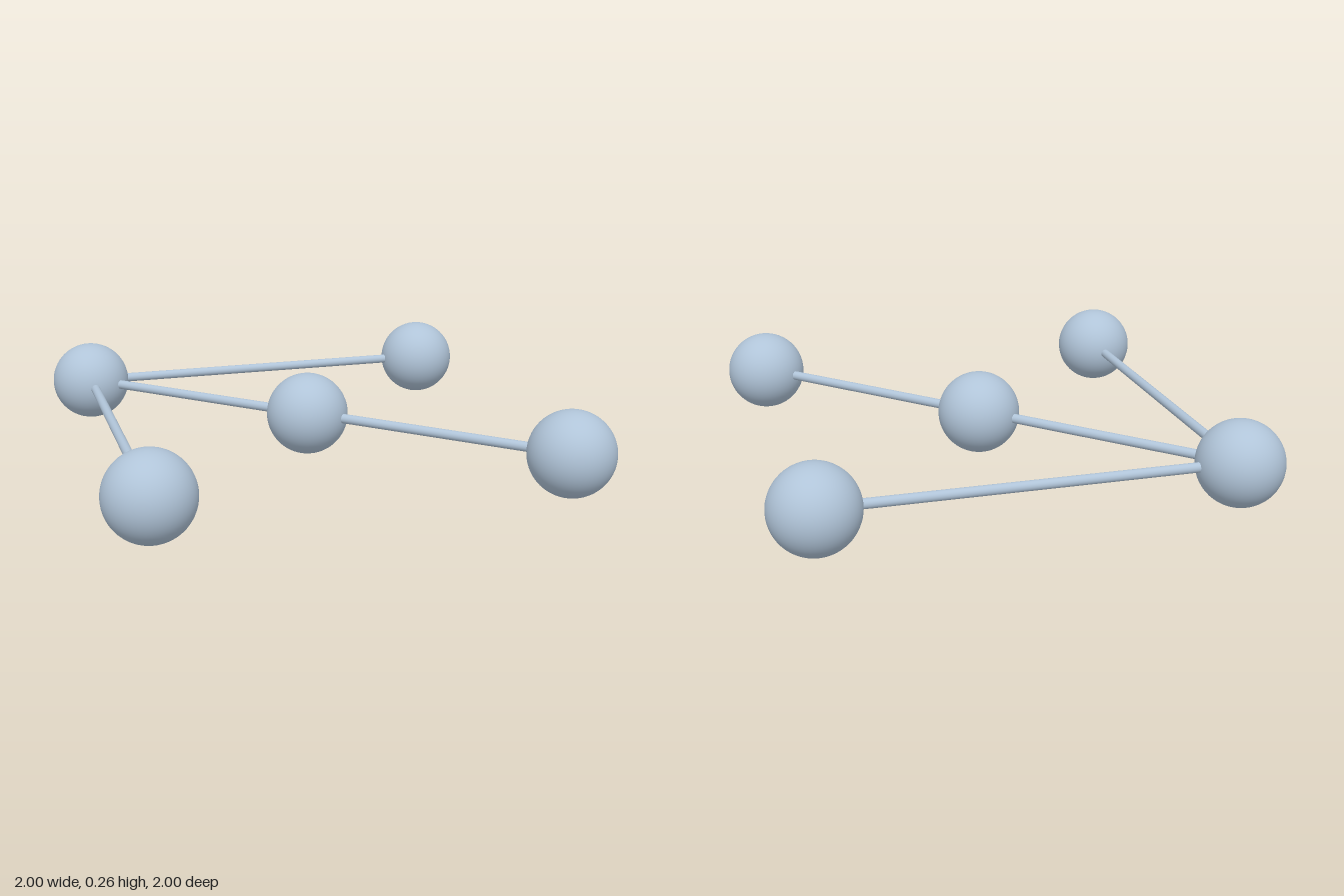
import * as THREE from 'three';

const BALL_RADIUS = 0.13;
const ROD_RADIUS = 0.015;
const REACH = 0.87;

export function createModel() {
  const model = new THREE.Group();
  model.name = 'ballAndRodModel';

  const paleSteel = new THREE.MeshStandardMaterial({ color: 0xb0c4d8 });
  paleSteel.name = 'paleSteelBlue';

  // Ball centres, all resting on the ground
  const centres = {
    hub: new THREE.Vector3(-REACH, BALL_RADIUS, 0),
    middle: new THREE.Vector3(0, BALL_RADIUS, 0),
    far: new THREE.Vector3(REACH, BALL_RADIUS, 0),
    front: new THREE.Vector3(0, BALL_RADIUS, REACH),
    back: new THREE.Vector3(0, BALL_RADIUS, -REACH),
  };

  // Balls
  const ballGeometry = new THREE.SphereGeometry(BALL_RADIUS, 48, 32);
  for (const [name, centre] of Object.entries(centres)) {
    const ball = new THREE.Mesh(ballGeometry, paleSteel);
    ball.name = `${name}Ball`;
    ball.position.copy(centre);
    model.add(ball);
  }

  // Rods running from centre to centre
  const up = new THREE.Vector3(0, 1, 0);
  const links = [['hub', 'middle'], ['middle', 'far'], ['hub', 'front'], ['hub', 'back']];
  for (const [from, to] of links) {
    const a = centres[from];
    const b = centres[to];
    const rod = new THREE.Mesh(
      new THREE.CylinderGeometry(ROD_RADIUS, ROD_RADIUS, a.distanceTo(b), 24), paleSteel);
    rod.name = `${from}To${to[0].toUpperCase()}${to.slice(1)}Rod`;
    rod.position.lerpVectors(a, b, 0.5);
    rod.quaternion.setFromUnitVectors(up, b.clone().sub(a).normalize());
    model.add(rod);
  }

  return model;
}
